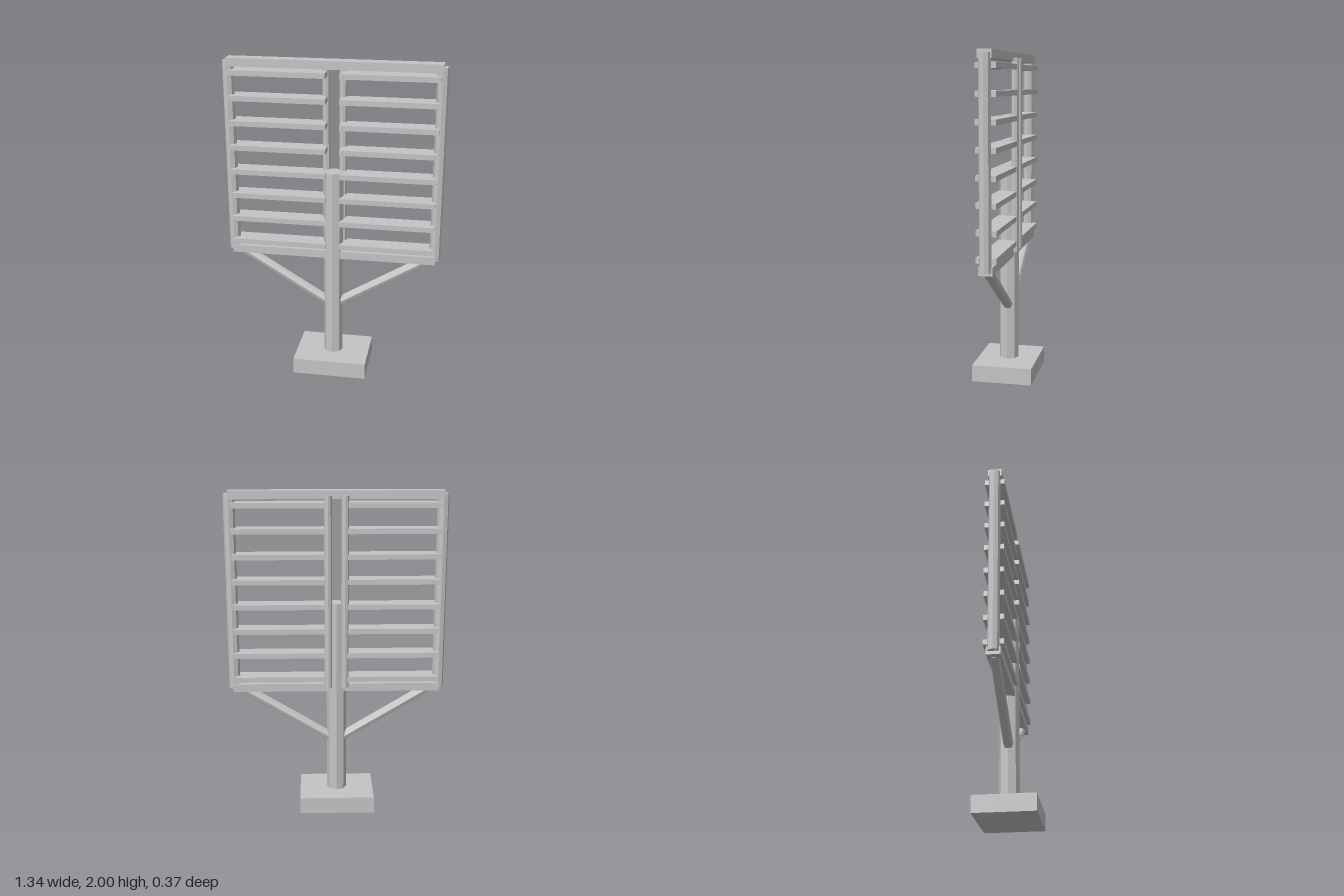
import * as THREE from 'three';

export function createModel() {
  const model = new THREE.Group();
  model.name = 'louveredPanelOnPost';
  const steel = new THREE.MeshStandardMaterial({ color: 0xc4c4c4 });
  steel.name = 'light grey steel';

  // Box given by its two extreme corners
  function box(name, [x0, y0, z0], [x1, y1, z1]) {
    const mesh = new THREE.Mesh(new THREE.BoxGeometry(x1 - x0, y1 - y0, z1 - z0), steel);
    mesh.position.set((x0 + x1) / 2, (y0 + y1) / 2, (z0 + z1) / 2);
    mesh.name = name;
    model.add(mesh);
  }

  // Faceted eight-sided bar running between two points
  function bar(name, from, to, radius) {
    const a = new THREE.Vector3(...from), b = new THREE.Vector3(...to);
    const dir = b.clone().sub(a);
    const geometry = new THREE.CylinderGeometry(radius, radius, dir.length(), 8).toNonIndexed();
    geometry.computeVertexNormals();
    const mesh = new THREE.Mesh(geometry, steel);
    mesh.position.copy(a).add(b).multiplyScalar(0.5);
    mesh.quaternion.setFromUnitVectors(new THREE.Vector3(0, 1, 0), dir.normalize());
    mesh.name = name;
    model.add(mesh);
  }

  // Foot and main post
  box('base', [-0.232, 0, -0.185], [0.232, 0.103, 0.185]);
  bar('mainPost', [0, 0.1, 0], [0, 1.323, 0], 0.061);

  // Horizontal frame rails
  box('topRail', [-0.64, 1.95, -0.041], [0.64, 2, 0.041]);
  box('bottomRail', [-0.64, 0.763, -0.041], [0.64, 0.813, 0.041]);

  for (const side of [1, -1]) {
    const label = side > 0 ? 'left' : 'right';
    // Uprights and diagonal brace
    bar(label + 'OuterUpright', [side * 0.635, 0.783, 0], [side * 0.635, 1.98, 0], 0.035);
    bar(label + 'InnerUpright', [side * 0.051, 0.793, -0.047], [side * 0.051, 1.97, -0.047], 0.023);
    bar(label + 'Brace', [side * 0.03, 0.445, 0], [side * 0.59, 0.783, 0], 0.03);
    // Slats
    for (let i = 0; i < 8; i++) {
      const y = 0.846 + i * 0.1527;
      const xs = [side * 0.042, side * 0.628].sort((p, q) => p - q);
      box(label + 'Slat' + (i + 1), [xs[0], y - 0.016, -0.061], [xs[1], y + 0.016, 0.057]);
    }
  }
  return model;
}
